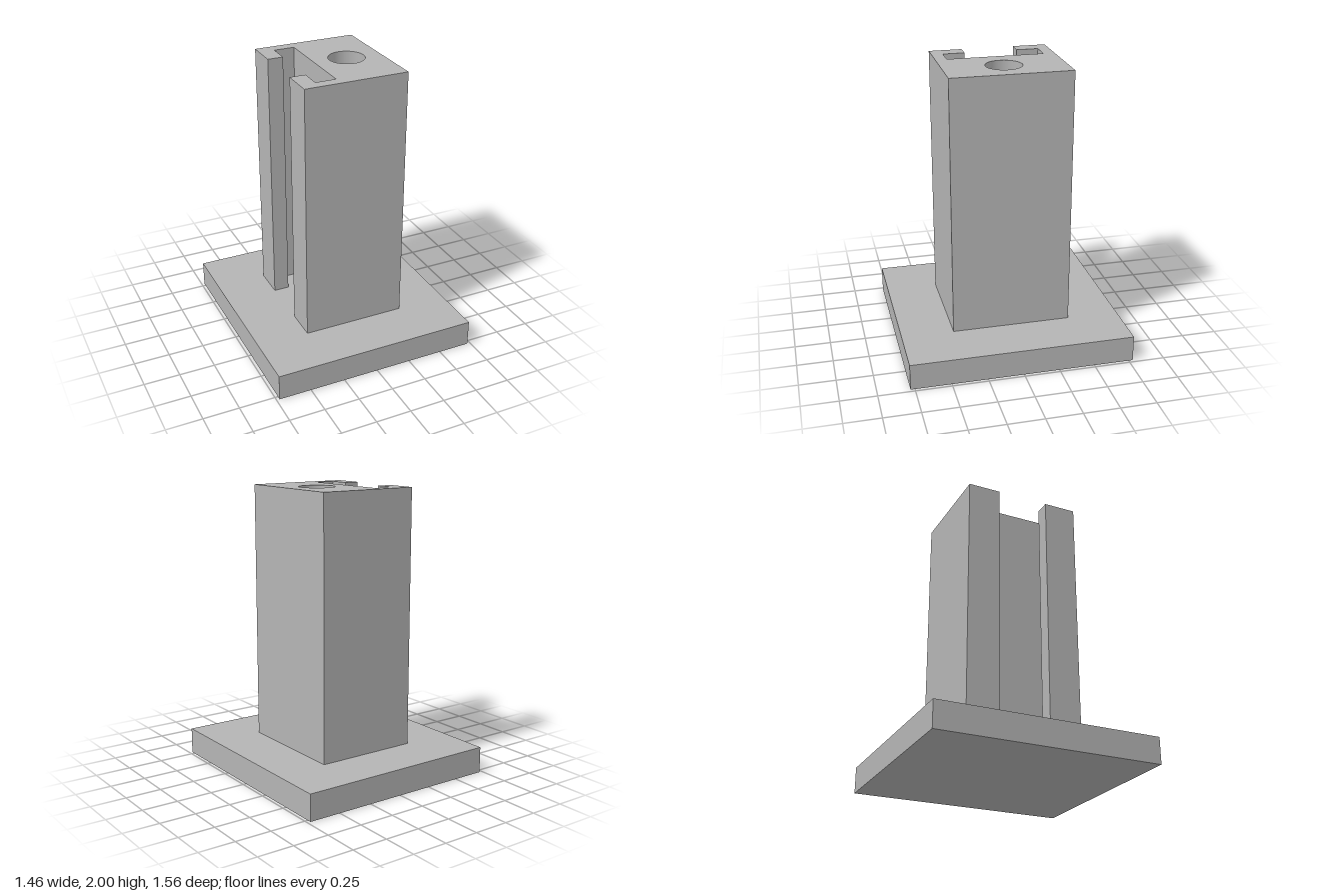
import * as THREE from 'three';

const BASE_H = 0.185, TOP = 2;

export function createModel() {
  const group = new THREE.Group();
  const grey = new THREE.MeshStandardMaterial({ color: 0xb4b4b4 });
  grey.name = 'grey';

  // Flat rectangular foot
  const base = new THREE.Mesh(new THREE.BoxGeometry(1.456, BASE_H, 1.56), grey);
  base.name = 'basePlate';
  base.position.y = BASE_H / 2;
  group.add(base);

  // Column section: rectangle with a T-slot opening towards -x
  const half = [[-0.364, 0.185], [-0.255, 0.185], [-0.255, 0.337], [-0.111, 0.337]];
  const mirrored = half.map(([x, z]) => [x, -z]).reverse();
  const outline = [
    [-0.364, -0.416], [0.364, -0.416], [0.364, 0.416], [-0.364, 0.416],
    ...half, ...mirrored,
  ];
  const section = new THREE.Shape(outline.map(([x, z]) => new THREE.Vector2(x, z)));

  // Round bore running down the column
  const bore = new THREE.Path();
  bore.absarc(0.125, 0, 0.125, 0, Math.PI * 2, true);
  section.holes.push(bore);

  const geometry = new THREE.ExtrudeGeometry(section, {
    depth: TOP - BASE_H, bevelEnabled: false, curveSegments: 48,
  });
  geometry.rotateX(-Math.PI / 2);
  const column = new THREE.Mesh(geometry, grey);
  column.name = 'slottedColumn';
  column.position.y = BASE_H;
  group.add(column);

  return group;
}
